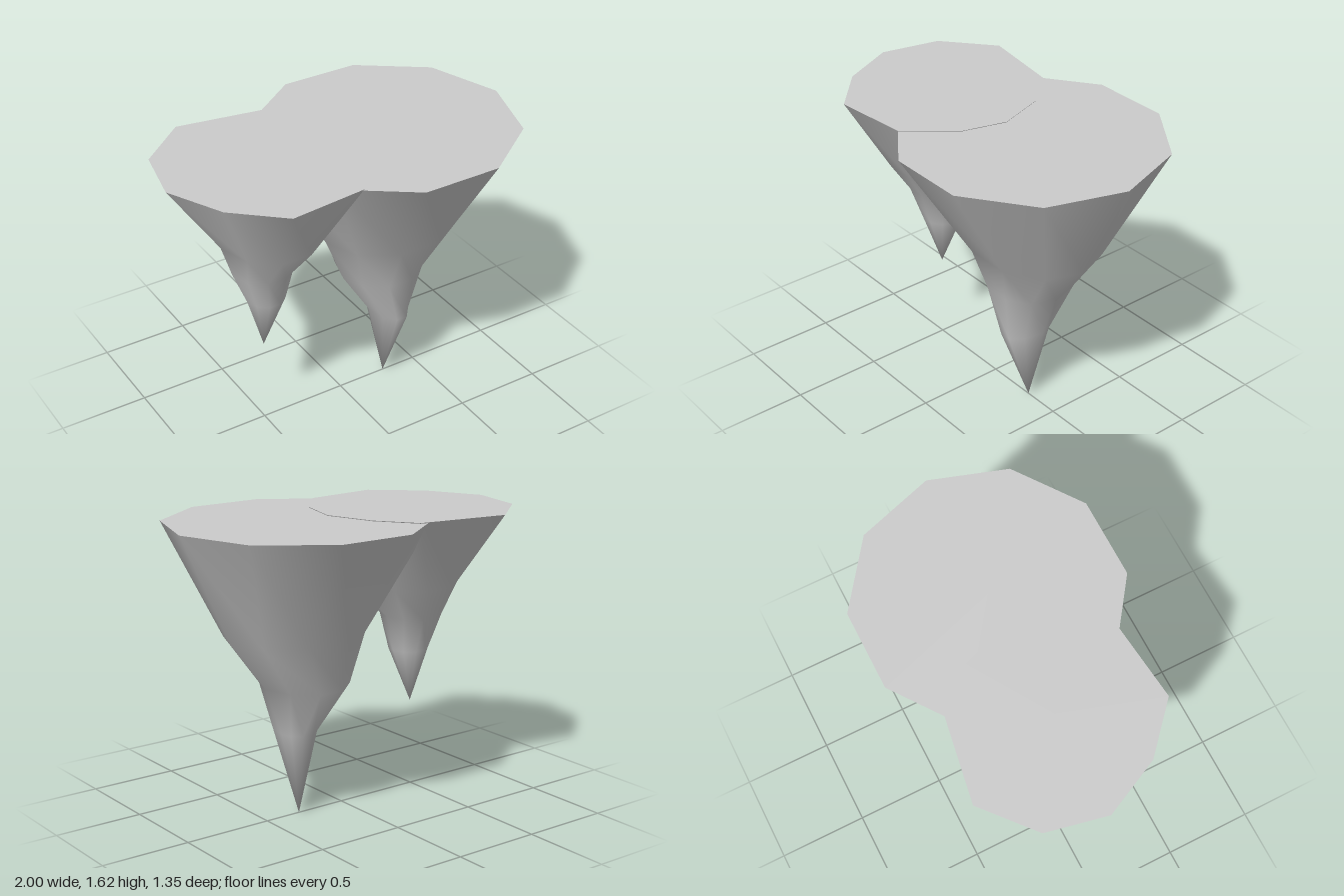
import * as THREE from 'three';

const SIDES = 10;

// Ten-sided ring at height y, spanning x0..x1 and reaching zFront / zBack.
function ring(y, x0, x1, zFront, zBack) {
  return Array.from({ length: SIDES }, (_, i) => {
    const a = (i / SIDES) * Math.PI * 2;
    const s = Math.sin(a) / Math.sin(Math.PI * 0.4);
    return [(x0 + x1) / 2 + ((x1 - x0) / 2) * Math.cos(a), y, s * (s > 0 ? zFront : zBack)];
  });
}

function mesh(name, points, index) {
  const geometry = new THREE.BufferGeometry();
  geometry.setAttribute('position', new THREE.Float32BufferAttribute(points.flat(), 3));
  geometry.setIndex(index);
  geometry.computeVertexNormals();
  const m = new THREE.Mesh(geometry, new THREE.MeshStandardMaterial({ color: 0xcccccc }));
  m.name = name;
  return m;
}

// Smooth tapering spike hanging from a flat cap; rings run from top to bottom.
function stalactite(name, rings, tip) {
  const group = new THREE.Group();
  group.name = name;
  const side = [];
  const cap = [];
  const tipIndex = rings.length * SIDES;
  for (let i = 0; i < SIDES; i++) {
    const j = (i + 1) % SIDES;
    for (let r = 0; r < rings.length - 1; r++) {
      const t = r * SIDES;
      const b = t + SIDES;
      side.push(t + i, t + j, b + i, t + j, b + j, b + i);
    }
    side.push(tipIndex - SIDES + i, tipIndex - SIDES + j, tipIndex);
    cap.push(SIDES, j, i);
  }
  const top = rings[0];
  const centre = [0, 1, 2].map((k) => top.reduce((sum, p) => sum + p[k], 0) / SIDES);
  group.add(mesh(name + 'Side', [...rings.flat(), tip], side));
  group.add(mesh(name + 'Top', [...top, centre], cap));
  return group;
}

export function createModel() {
  const model = new THREE.Group();
  model.name = 'stalactites';

  // Large spike
  model.add(stalactite('largeSpike', [
    ring(1.618, -0.42, 1, 0.67, 0.675),
    ring(1.01, -0.09, 0.71, 0.31, 0.31),
    ring(0.74, 0.02, 0.5, 0.205, 0.265),
    ring(0.47, 0.19, 0.4, 0.175, 0.1),
  ], [0.29, 0, 0]));

  // Small spike with an uneven rim, growing into the large one
  const rim = [
    [0.09, 0], [0.02, 0.26], [-0.17, 0.49], [-0.6, 0.535], [-0.85, 0.31],
    [-1, 0], [-0.93, -0.33], [-0.66, -0.56], [-0.15, -0.475], [0, -0.27],
  ].map(([x, z]) => [x, 1.622, z]);
  model.add(stalactite('smallSpike', [
    rim,
    ring(1.2, -0.72, -0.17, 0.3, 0.3),
    ring(1.01, -0.66, -0.32, 0.17, 0.17),
    ring(0.81, -0.58, -0.365, 0.11, 0.11),
  ], [-0.49, 0.5, 0]));

  return model;
}
